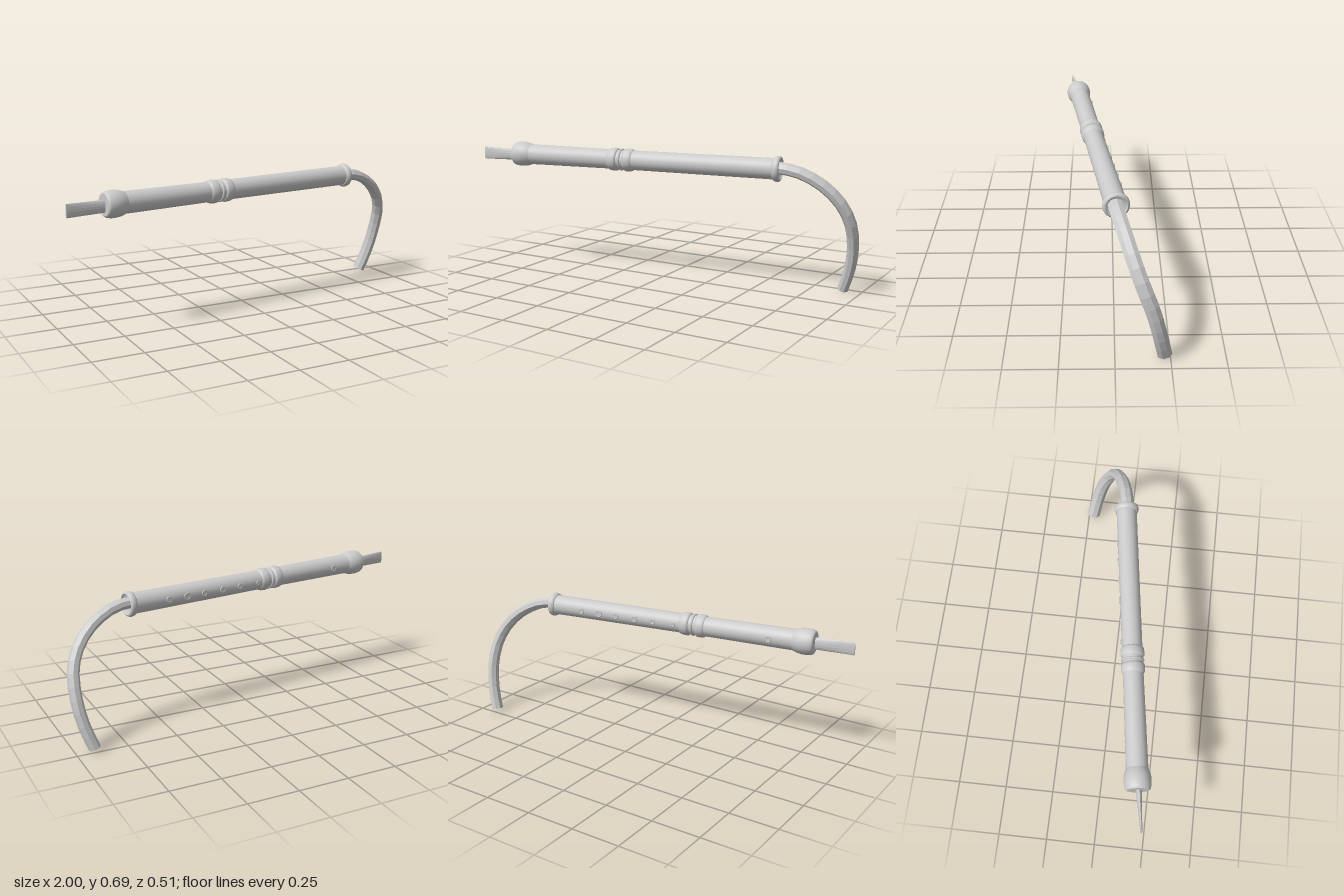
import * as THREE from 'three';

const grey = (o = {}) => new THREE.MeshStandardMaterial({ color: 0xcccccc, ...o });

function add(parent, name, geometry, material = grey()) {
  const mesh = new THREE.Mesh(geometry, material);
  mesh.name = name;
  parent.add(mesh);
  return mesh;
}

// Lathe around the x axis; profile is [x, radius], listed with rising x
function turned(profile, smoothSteps = 0) {
  let pts = profile.map(([x, r]) => new THREE.Vector2(r, x));
  if (smoothSteps) pts = new THREE.SplineCurve(pts).getPoints(smoothSteps);
  return new THREE.LatheGeometry(pts, 32).rotateZ(-Math.PI / 2);
}

// Closed skin over rings of points, with flat end caps
function loft(rings) {
  const n = rings[0].length, pos = [], idx = [];
  rings.forEach(r => r.forEach(p => pos.push(p.x, p.y, p.z)));
  for (let i = 0; i < rings.length - 1; i++) {
    for (let j = 0; j < n; j++) {
      const a = i * n + j, b = i * n + (j + 1) % n;
      idx.push(a, b, a + n, b, b + n, a + n);
    }
  }
  const last = (rings.length - 1) * n;
  for (let j = 1; j < n - 1; j++) {
    idx.push(0, j + 1, j, last, last + j, last + j + 1);
  }
  const g = new THREE.BufferGeometry();
  g.setAttribute('position', new THREE.Float32BufferAttribute(pos, 3));
  g.setIndex(idx);
  const flat = g.toNonIndexed();
  flat.computeVertexNormals();
  return flat;
}

// Elliptical ring spanned by u and v; u x v points along the loft
function ring(center, u, v, ru, rv, sides) {
  return Array.from({ length: sides }, (_, j) => {
    const a = (j + 0.5) / sides * Math.PI * 2;
    return center.clone().addScaledVector(u, ru * Math.cos(a)).addScaledVector(v, rv * Math.sin(a));
  });
}

export function createModel() {
  const model = new THREE.Group();
  model.name = 'woodwind';

  // Straight pipe, built along x and then turned slightly
  const pipe = new THREE.Group();
  pipe.name = 'pipe';
  pipe.position.set(0, 0.628, 0.08);
  pipe.rotation.y = 0.14;
  model.add(pipe);

  add(pipe, 'upperBody', turned([[-0.74, 0.053], [-0.22, 0.05]]));
  add(pipe, 'lowerBody', turned([[-0.17, 0.05], [0.64, 0.052]]));

  // Rounded bulb at the mouth end
  add(pipe, 'bulbEnd', turned([[-0.82, 0], [-0.82, 0.052]]));
  add(pipe, 'bulb', turned([[-0.82, 0.052], [-0.812, 0.06], [-0.785, 0.065],
    [-0.755, 0.064], [-0.73, 0.058], [-0.715, 0.052]], 20));

  // Joint: two collars with a thin bead between them
  const collar = [[-0.256, 0.05], [-0.248, 0.056], [-0.23, 0.059], [-0.212, 0.058], [-0.204, 0.05]];
  add(pipe, 'upperCollar', turned(collar, 14));
  add(pipe, 'lowerCollar', turned(collar.map(([x, r]) => [-0.375 - x, r]).reverse(), 14));
  add(pipe, 'jointCore', turned([[-0.21, 0.05], [-0.16, 0.05]]));
  add(pipe, 'jointBead', new THREE.TorusGeometry(0.05, 0.007, 8, 32).rotateY(Math.PI / 2)).position.x = -0.188;

  // End ring with a shallow recessed face
  add(pipe, 'endRing', turned([[0.617, 0.05], [0.622, 0.058], [0.636, 0.063],
    [0.65, 0.06], [0.655, 0.051]], 16));
  add(pipe, 'endRecess', turned([[0.655, 0.051], [0.64, 0.044], [0.638, 0]]),
    grey({ side: THREE.DoubleSide }));

  // Raised finger-hole rims along the back: [position, radius]
  const holes = [[-0.6, 0.014], [-0.09, 0.009], [0.025, 0.012], [0.13, 0.014],
    [0.24, 0.013], [0.34, 0.016], [0.445, 0.013]];
  holes.forEach(([x, r]) => {
    const hole = new THREE.Group();
    hole.name = 'fingerHole';
    hole.position.set(x, 0, -0.0515);
    add(hole, 'holeRim', new THREE.TorusGeometry(r, 0.0035, 8, 20));
    add(hole, 'holeFloor', new THREE.CylinderGeometry(r, r, 0.008, 20).rotateX(Math.PI / 2)).position.z = 0.002;
    pipe.add(hole);
  });

  // Flattened mouthpiece: [x, z, half height, half thickness]
  const up = new THREE.Vector3(0, 1, 0), side = new THREE.Vector3(0, 0, 1);
  const reed = [[-1.011, 0.008, 0.033, 0.005], [-0.95, 0.007, 0.032, 0.007],
    [-0.88, 0.005, 0.031, 0.011], [-0.81, 0.004, 0.03, 0.014]];
  add(pipe, 'mouthpiece', loft(reed.map(([x, z, h, t]) =>
    ring(new THREE.Vector3(x, -0.005, z), up, side, h, t, 16))));

  // Faceted hook curving down and back from the end ring
  const path = new THREE.CatmullRomCurve3([
    [0.62, 0.634, -0.003], [0.68, 0.63, -0.011], [0.755, 0.61, -0.028], [0.855, 0.55, -0.06],
    [0.925, 0.47, -0.094], [0.96, 0.385, -0.128], [0.968, 0.285, -0.165],
    [0.955, 0.17, -0.194], [0.93, 0.08, -0.212], [0.907, 0.018, -0.224],
  ].map(p => new THREE.Vector3(...p)));
  const hint = new THREE.Vector3(-0.1, 0.25, -0.95);
  const steps = 14, rings = [];
  for (let i = 0; i <= steps; i++) {
    const t = path.getTangentAt(i / steps);
    const u = hint.clone().addScaledVector(t, -hint.dot(t)).normalize();
    const v = t.clone().cross(u);
    rings.push(ring(path.getPointAt(i / steps), u, v, 0.036, 0.029, 8));
  }
  add(model, 'hook', loft(rings), grey({ flatShading: true }));

  return model;
}
